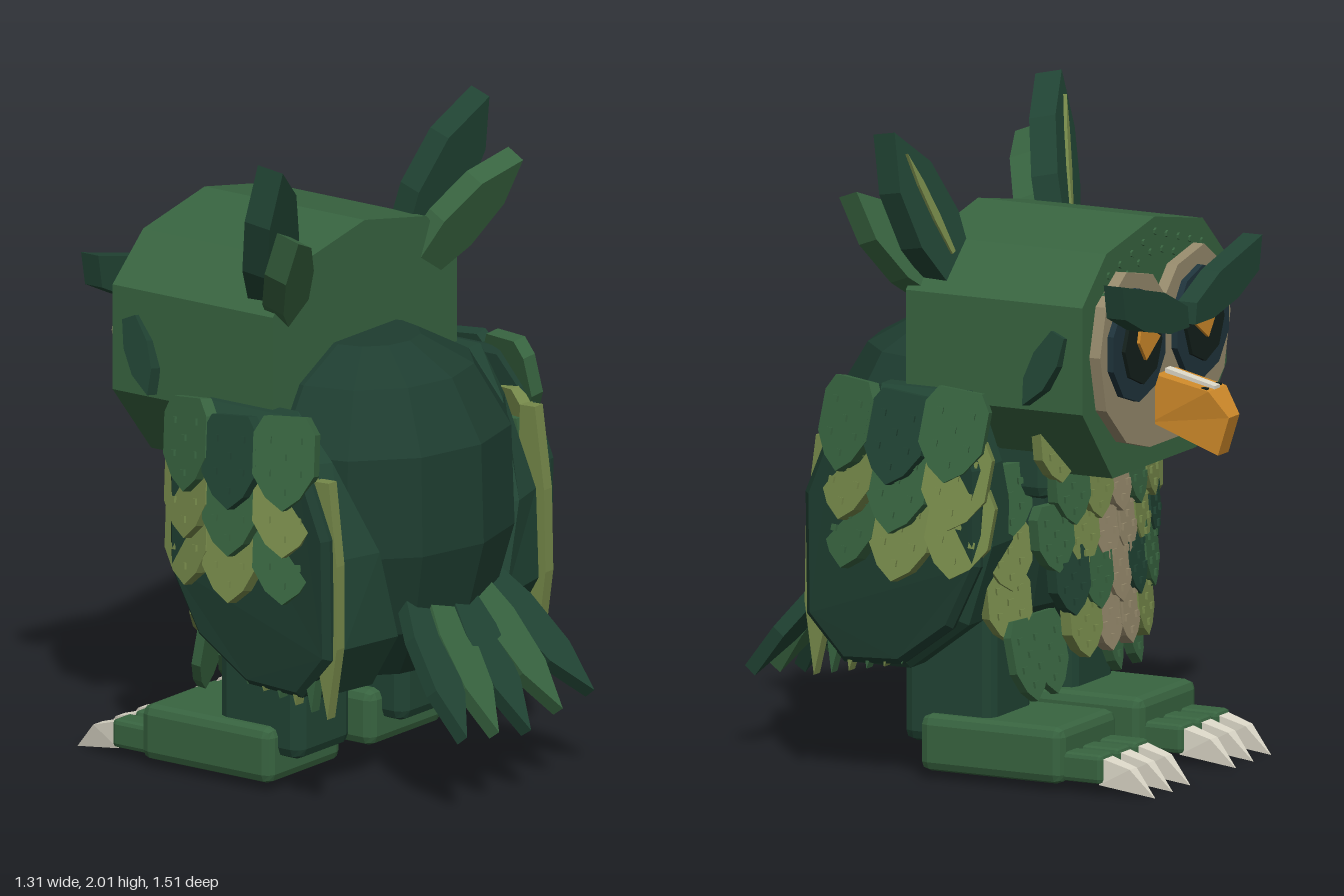
import * as THREE from 'three';
import { mergeGeometries } from 'three/addons/utils/BufferGeometryUtils.js';
import { RoundedBoxGeometry } from 'three/addons/geometries/RoundedBoxGeometry.js';

const mat = (color) => new THREE.MeshStandardMaterial({ color, flatShading: true });
const M = {
  mid: mat(0x386440), dark: mat(0x214434), deep: mat(0x1e3d30), olive: mat(0x76894a),
  tan: mat(0x968a6c), navy: mat(0x1f343c), orange: mat(0xcf8a2a), bone: mat(0xdcd8c8), black: mat(0x14201c),
};
const LONG = [[0, 0.28], [0.35, 0.5], [0.7, 0.42]];
const SCALE = [[0, 0.34], [0.18, 0.5], [0.62, 0.5], [0.86, 0.28]];
const v = (a) => new THREE.Vector3(...a);
const mirrored = (pts, s) => pts.map(([x, y]) => [s * x, y]);
const symmetric = (half) => [...half, ...mirrored(half, -1).reverse()];
const toShape = (pts) => new THREE.Shape(pts.map((p) => new THREE.Vector2(...p)));

export function createModel() {
  const root = new THREE.Group();
  const add = (name, geo, material, parent = root) => {
    const mesh = new THREE.Mesh(geo, material);
    mesh.name = name;
    parent.add(mesh);
    return mesh;
  };
  // outline in x,y pushed along z
  const slabZ = (name, pts, z0, z1, material, parent) =>
    add(name, new THREE.ExtrudeGeometry(toShape(pts), { depth: z1 - z0, bevelEnabled: false }).translate(0, 0, z0), material, parent);
  // outline in z,y pushed along x, with chamfered rims; `move` may shift each corner
  const slabX = (name, pts, x0, x1, bevel, material, parent, move = () => {}) => {
    const geo = new THREE.ExtrudeGeometry(toShape(pts.map(([z, y]) => [-z, y])), {
      depth: x1 - x0 - 2 * bevel, bevelEnabled: bevel > 0, bevelThickness: bevel, bevelSize: bevel, bevelOffset: -bevel, bevelSegments: 1,
    }).rotateY(Math.PI / 2).translate(x0 + bevel, 0, 0);
    const pos = geo.attributes.position;
    const p = new THREE.Vector3();
    for (let i = 0; i < pos.count; i++) {
      move(p.fromBufferAttribute(pos, i));
      pos.setXYZ(i, p.x, p.y, p.z);
    }
    geo.computeVertexNormals();
    return add(name, geo, material, parent);
  };
  const box = (name, w, h, d, x, y, z, r, material, parent) =>
    add(name, new RoundedBoxGeometry(w, h, d, 1, r).translate(x, y, z), material, parent);

  // pointed feather from base to tip, its studded side turned to `normal`
  const feather = (name, base, tip, width, thick, normal, material, { profile = LONG, studs = false, parent = root } = {}) => {
    const y = v(tip).sub(v(base));
    const len = y.length();
    const half = profile.map(([t, w]) => [w * width, t * len]);
    const shape = toShape([...half, [0, len], ...mirrored(half, -1).reverse()]);
    const parts = [new THREE.ExtrudeGeometry(shape, { depth: thick, bevelEnabled: false }).translate(0, 0, -thick / 2)];
    if (studs) {
      for (const [sx, sy] of [[-0.25, 0.25], [0.25, 0.25], [-0.25, 0.6], [0.25, 0.6], [0, 0.43], [0, 0.8]]) {
        parts.push(new THREE.BoxGeometry(0.02, 0.02, 0.016).translate(sx * width, sy * len, thick / 2).toNonIndexed());
      }
    }
    const mesh = add(name, mergeGeometries(parts), material, parent);
    y.normalize();
    const z = v(normal);
    z.addScaledVector(y, -z.dot(y)).normalize();
    mesh.quaternion.setFromRotationMatrix(new THREE.Matrix4().makeBasis(y.clone().cross(z), y, z));
    mesh.position.set(...base);
    return mesh;
  };

  // body
  const profile = [[0, 0.35], [0.24, 0.35], [0.36, 0.51], [0.43, 0.77], [0.42, 1.08], [0.31, 1.27], [0.15, 1.36], [0, 1.36]];
  add('body', new THREE.LatheGeometry(profile.map((p) => new THREE.Vector2(...p)), 12).scale(1.08, 1, 1).translate(0, 0, 0.15), M.deep);
  box('neck', 0.66, 0.3, 0.3, 0, 1.02, -0.14, 0.04, M.dark);

  // head
  slabZ('head', symmetric([[0, 1.71], [0.31, 1.65], [0.465, 1.51], [0.465, 1.18], [0.27, 0.95]]), -0.475, 0.13, M.mid);
  const rim = [];
  for (let i = -4; i <= 4; i++) {
    for (let j = 0; j < 2; j++) {
      const x = i * 0.075 + j * 0.03;
      rim.push(new THREE.CylinderGeometry(0.011, 0.011, 0.014, 6).rotateX(Math.PI / 2)
        .translate(x, 1.665 - j * 0.05 - Math.abs(x) * 0.28, -0.475));
    }
  }
  add('foreheadStuds', mergeGeometries(rim), M.mid);

  // face
  const face = new THREE.Group();
  face.name = 'face';
  root.add(face);
  slabZ('faceDisc', symmetric([[0, 1.47], [0.08, 1.55], [0.25, 1.585], [0.38, 1.5], [0.42, 1.35], [0.38, 1.18], [0.25, 1.06], [0.1, 1.02]]),
    -0.512, -0.47, M.tan, face);
  slabX('beak', [[-0.5, 1.24], [-0.69, 1.2], [-0.748, 1.12], [-0.71, 1], [-0.5, 1.09]], -0.068, 0.068, 0, M.orange, face,
    (p) => { p.x *= p.z < -0.7 ? 0.5 : p.z < -0.6 ? 0.85 : 1; });
  slabX('beakRidge', [[-0.52, 1.25], [-0.69, 1.21], [-0.69, 1.19], [-0.52, 1.22]], -0.017, 0.017, 0, M.bone, face);

  for (const s of [1, -1]) {
    const side = s > 0 ? 'left' : 'right';
    const group = (name) => {
      const g = new THREE.Group();
      g.name = side + name;
      root.add(g);
      return g;
    };
    // eyes, brows, nostrils
    add('eyeSocket', new THREE.CylinderGeometry(0.175, 0.175, 0.035, 10).rotateX(Math.PI / 2).translate(s * 0.205, 1.355, -0.515), M.navy, face);
    add('eyeRing', new THREE.CylinderGeometry(0.12, 0.12, 0.02, 8).rotateX(Math.PI / 2).translate(s * 0.2, 1.355, -0.535), M.black, face);
    slabZ('eye', mirrored([[0.11, 1.37], [0.23, 1.43], [0.245, 1.37], [0.2, 1.31]], s), -0.555, -0.54, M.orange, face);
    slabZ('brow', mirrored([[0.02, 1.385], [0.03, 1.45], [0.18, 1.52], [0.45, 1.585], [0.43, 1.48], [0.3, 1.42], [0.14, 1.385]], s), -0.605, -0.54, M.dark, face);
    add('nostril', new THREE.BoxGeometry(0.015, 0.012, 0.02).translate(s * 0.042, 1.202, -0.67), M.black, face);

    // ear tufts
    const ear = group('EarTuft');
    feather('tallTuft', [s * 0.34, 1.52, 0.03], [s * 0.53, 2, 0.17], 0.21, 0.085, [s * 0.25, 0.3, -1], M.dark, { parent: ear });
    feather('tuftQuill', [s * 0.38, 1.62, 0.015], [s * 0.51, 1.94, 0.105], 0.03, 0.015, [s * 0.25, 0.3, -1], M.olive, { parent: ear });
    feather('shortTuft', [s * 0.32, 1.48, 0.08], [s * 0.575, 1.81, 0.27], 0.18, 0.075, [s * 0.25, 0.4, -1], M.mid, { parent: ear });
    feather('cheekTuft', [s * 0.46, 1.42, -0.4], [s * 0.5, 1.2, -0.3], 0.09, 0.05, [s, 0.2, 0], M.dark, { parent: ear });

    // wings: the inner panel sweeps in below the back and slopes forward on its outer side
    const wing = group('Wing');
    const span = (a, b) => (s > 0 ? [a, b] : [-b, -a]);
    slabX('innerWing', [[0.2, 1.22], [-0.1, 1.22], [-0.17, 1], [-0.18, 0.75], [-0.1, 0.5], [0.1, 0.35], [0.36, 0.35], [0.46, 0.52], [0.45, 0.8], [0.33, 1.08]],
      ...span(0.4, 0.52), 0.03, M.dark, wing, (p) => {
        if (Math.abs(p.x) < 0.46) p.x -= s * Math.max(0, Math.min(0.16, (1.08 - p.y) * 0.28));
        else if (p.z > 0.3) p.z -= 0.04;
      });
    slabX('outerWing', [[0.24, 1.2], [-0.1, 1.2], [-0.18, 1], [-0.18, 0.7], [-0.08, 0.5], [0.1, 0.37], [0.3, 0.36], [0.42, 0.5], [0.42, 0.88], [0.33, 1.1]],
      ...span(0.53, 0.585), 0.02, M.deep, wing, (p) => { p.x -= s * Math.max(0, 0.6 - p.y) * 0.1; });
    for (let i = 0; i < 6; i++) {
      feather('flightFeather', [s * 0.52, 1.05 - i * 0.05, 0.37 - i * 0.07], [s * 0.53, 0.31 + i * 0.012, 0.4 - i * 0.06],
        0.1, 0.04, [s, 0, 0], i % 2 ? M.mid : M.olive, { parent: wing });
    }
    const wingColors = [[M.mid, M.dark, M.mid], [M.olive, M.mid, M.olive], [M.mid, M.olive, M.olive]];
    wingColors.forEach((row, r) => row.forEach((color, c) => {
      const z = 0.265 - c * 0.18 - r * 0.005;
      const x = 0.608 - r * 0.008 - 0.8 * (z - 0.08) ** 2;
      const top = 1.24 - r * 0.15 - (c % 2) * 0.02;
      feather('wingScale', [s * (x - 0.03), top, z - 0.015], [s * (x + 0.025), top - 0.28, z + 0.015],
        0.2, 0.045, [s, 0.15, (z - 0.08) * 1.5], color, { profile: SCALE, studs: true, parent: wing });
    }));

    // legs, feet, toes and claws
    const leg = group('Leg');
    box('shin', 0.27, 0.55, 0.31, s * 0.262, 0.375, 0.025, 0.035, M.dark, leg);
    box('foot', 0.37, 0.175, 0.49, s * 0.257, 0.11, -0.145, 0.03, M.mid, leg);
    for (const cx of [s * 0.147, s * 0.26, s * 0.373]) {
      box('toe', 0.09, 0.09, 0.15, cx, 0.078, -0.44, 0.015, M.mid, leg);
      slabX('claw', [[-0.5, 0.115], [-0.6, 0.085], [-0.675, 0], [-0.5, 0.03]], cx - 0.032, cx + 0.032, 0, M.bone, leg,
        (p) => { p.x = cx + (p.x - cx) * (p.z < -0.65 ? 0.05 : p.z < -0.55 ? 0.7 : 1); });
    }
    for (const x of [0.2, 0.33]) {
      feather('thighScale', [s * x, 0.5, -0.19], [s * x, 0.25, -0.24], 0.15, 0.03, [s * 0.2, 0, -1], M.mid,
        { profile: SCALE, studs: true, parent: leg });
    }
    // flank scales beside the chest
    for (const [top, color] of [[0.98, M.mid], [0.81, M.olive], [0.65, M.olive]]) {
      feather('flankScale', [s * 0.36, top, -0.15], [s * 0.36, top - 0.22, -0.17], 0.16, 0.04, [s * 0.5, 0, -1], color,
        { profile: SCALE, studs: true, parent: leg });
    }
  }

  // chest scales in staggered rows
  const chest = new THREE.Group();
  chest.name = 'chest';
  root.add(chest);
  [6, 5, 6, 5, 4].forEach((count, r) => {
    for (let c = 0; c < count; c++) {
      const x = (c - (count - 1) / 2) * 0.125;
      const z = -0.34 + x * x * 0.4 + (r === 2 ? 0.01 : 0);
      const top = 1.14 - r * 0.14;
      const color = Math.abs(x) < 0.1 ? M.tan : [M.mid, M.olive, M.dark][(r + c * 2) % 3];
      feather('chestScale', [x, top, z + 0.01], [x, top - 0.21, z - 0.01], 0.15, 0.04, [x, 0, -1], color,
        { profile: SCALE, studs: true, parent: chest });
    }
  });

  // tail fan
  const tail = new THREE.Group();
  tail.name = 'tail';
  root.add(tail);
  for (let i = -2; i <= 2; i++) {
    const a = Math.abs(i);
    feather('tailFeather', [i * 0.085, 0.64, 0.45 - a * 0.015], [i * 0.161, [0.2, 0.23, 0.25][a], 0.74], 0.15, 0.045, [0, 0.6, 1],
      a === 1 ? M.mid : M.dark, { parent: tail });
  }
  return root;
}
